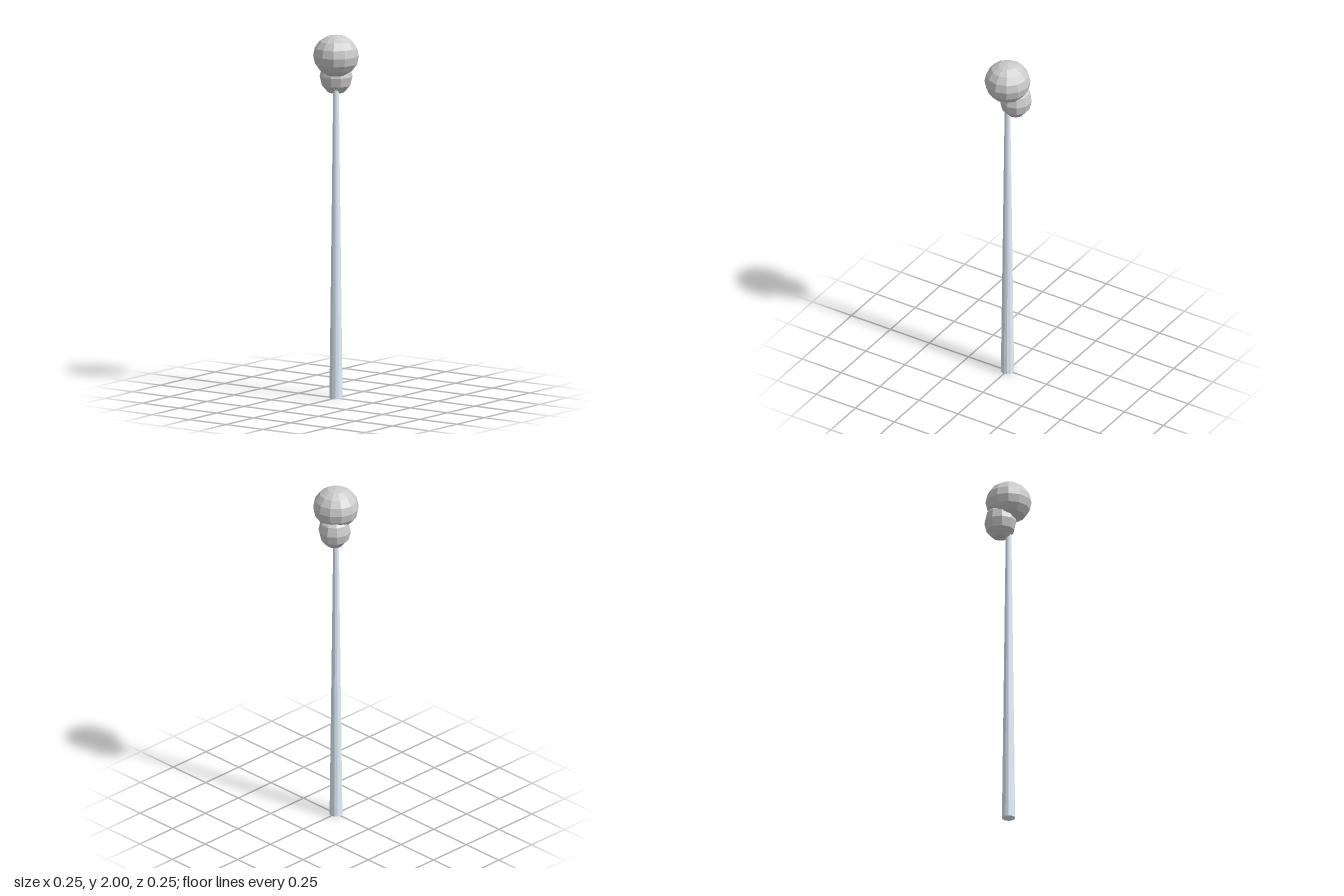
import * as THREE from 'three';

export function createModel() {
  const group = new THREE.Group();
  const poleMat = new THREE.MeshStandardMaterial({ color: 0xe3f2fd, flatShading: true });
  const ballMat = new THREE.MeshStandardMaterial({ color: 0xcccccc, flatShading: true });

  const add = (name, geometry, material, x, y, z) => {
    const mesh = new THREE.Mesh(geometry, material);
    mesh.name = name;
    mesh.position.set(x, y, z);
    group.add(mesh);
    return mesh;
  };

  // Slender tapered pole, its tip hidden inside the large ball
  const poleHeight = 1.82;
  add('pole', new THREE.CylinderGeometry(0.014, 0.036, poleHeight, 12), poleMat, 0, poleHeight / 2, 0);

  // Slightly flattened large ball on top
  add('largeBall', new THREE.SphereGeometry(0.125, 12, 8), ballMat, 0, 1.885, 0)
    .scale.y = 0.115 / 0.125;

  // Smaller upright ball, offset to the back left below it
  const small = add('smallBall', new THREE.SphereGeometry(0.089, 10, 6), ballMat, 0.036, 1.764, -0.026);
  small.scale.y = 0.101 / 0.089;
  small.rotation.y = Math.PI / 10;

  return group;
}
